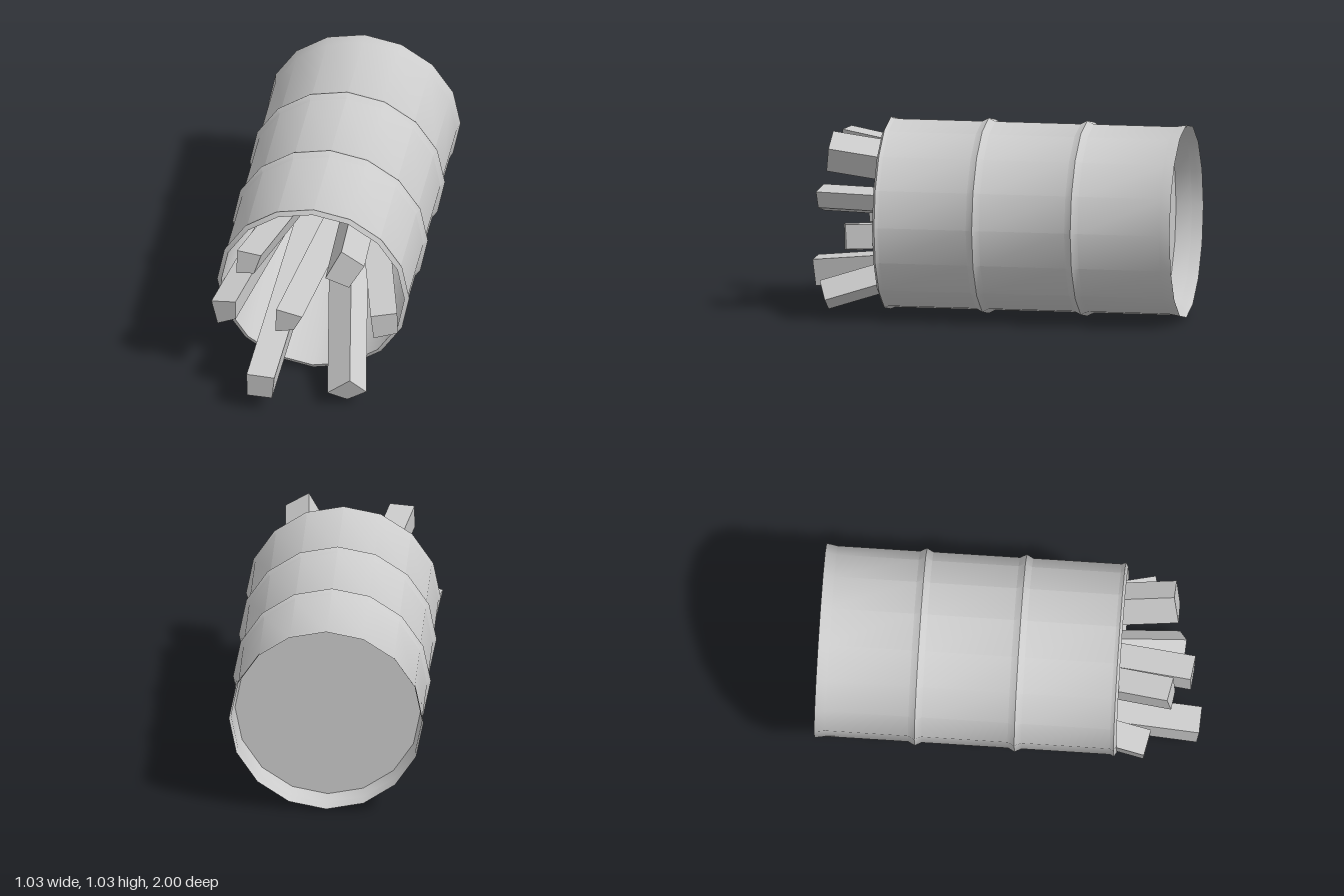
import * as THREE from 'three';
import { toCreasedNormals } from 'three/addons/utils/BufferGeometryUtils.js';

const grey = new THREE.MeshStandardMaterial({ color: 0xcccccc });
const sheet = new THREE.MeshStandardMaterial({ color: 0xcccccc, side: THREE.DoubleSide });
const CENTRE_Y = 0.515;

// Turned sheet metal along z, smooth except at its sharp rims and hoop crests
function turned(profile) {
  const points = profile.map(([r, z]) => new THREE.Vector2(r, z));
  const lathe = new THREE.LatheGeometry(points, 16).rotateX(Math.PI / 2);
  return toCreasedNormals(lathe, Math.PI / 6);
}

// Squared plank: front corners (top left, top right, bottom right, bottom left) at
// depth z, running back by the shift to backZ, with both ends cut square to its axis
function plankGeometry({ corners, z, shift: [dx, dy], backZ }) {
  const geometry = new THREE.BoxGeometry(1, 1, 1);
  const p = geometry.attributes.position;
  const cx = corners.reduce((s, c) => s + c[0], 0) / 4;
  const cy = corners.reduce((s, c) => s + c[1], 0) / 4;
  const dz = backZ - z;
  for (let i = 0; i < p.count; i++) {
    const right = p.getX(i) > 0, top = p.getY(i) > 0, front = p.getZ(i) > 0;
    const [x, y] = corners[top ? (right ? 1 : 0) : (right ? 2 : 3)];
    const tilt = -(dx * (x - cx) + dy * (y - cy)) / dz;
    if (front) p.setXYZ(i, x, y, z + tilt);
    else p.setXYZ(i, x + dx, y + dy, backZ + tilt);
  }
  geometry.computeVertexNormals();
  return geometry;
}

export function createModel() {
  const model = new THREE.Group();
  const add = (name, geometry, material) => {
    const mesh = new THREE.Mesh(geometry, material);
    mesh.name = name;
    model.add(mesh);
    return mesh;
  };

  // Drum shell lying on its side, from rear rim over two hoops to the open front,
  // then back along the inside wall to the floor
  const hoop = (z) => [[0.497, z - 0.035], [0.515, z], [0.497, z + 0.035]];
  const shell = [
    [0.507, -1], [0.497, -0.97],
    ...hoop(-0.477), ...hoop(0.043),
    [0.497, 0.54], [0.507, 0.56], [0.483, 0.574],
    [0.483, -0.855], [0, -0.855],
  ];
  add('drumShell', turned(shell), sheet).position.y = CENTRE_Y;

  // Recessed base at the rear, with its flared skirt
  const base = [[0, -0.86], [0.483, -0.86], [0.507, -1]];
  add('drumBase', turned(base), sheet).position.y = CENTRE_Y;

  // Loose planks sticking out of the opening
  const planks = {
    upperRightPlank: {
      corners: [[-0.355, 0.91], [-0.225, 0.91], [-0.26, 0.8], [-0.355, 0.78]],
      z: 0.85, shift: [0.215, -0.18], backZ: -0.3,
    },
    upperLeftPlank: {
      corners: [[0.195, 0.97], [0.317, 0.895], [0.24, 0.765], [0.115, 0.81]],
      z: 0.845, shift: [-0.07, -0.19], backZ: -0.45,
    },
    rightPlank: {
      corners: [[-0.51, 0.485], [-0.378, 0.515], [-0.378, 0.4], [-0.478, 0.343]],
      z: 0.73, shift: [0.215, 0.082], backZ: -0.35,
    },
    middlePlank: {
      corners: [[-0.13, 0.635], [0.01, 0.615], [-0.035, 0.525], [-0.135, 0.495]],
      z: 0.945, shift: [0.208, -0.02], backZ: -0.8,
    },
    leftPlank: {
      corners: [[0.335, 0.51], [0.47, 0.525], [0.47, 0.395], [0.35, 0.37]],
      z: 0.73, shift: [-0.22, 0.01], backZ: -0.2,
    },
    lowerRightPlank: {
      corners: [[-0.277, 0.238], [-0.13, 0.235], [-0.145, 0.095], [-0.277, 0.095]],
      z: 0.987, shift: [0.05, 0.135], backZ: -0.4,
    },
    lowerLeftPlank: {
      corners: [[0.13, 0.09], [0.25, 0.19], [0.33, 0.1], [0.23, 0.037]],
      z: 0.868, shift: [-0.205, 0.385], backZ: -0.4,
    },
  };
  for (const [name, spec] of Object.entries(planks)) add(name, plankGeometry(spec), grey);

  return model;
}
